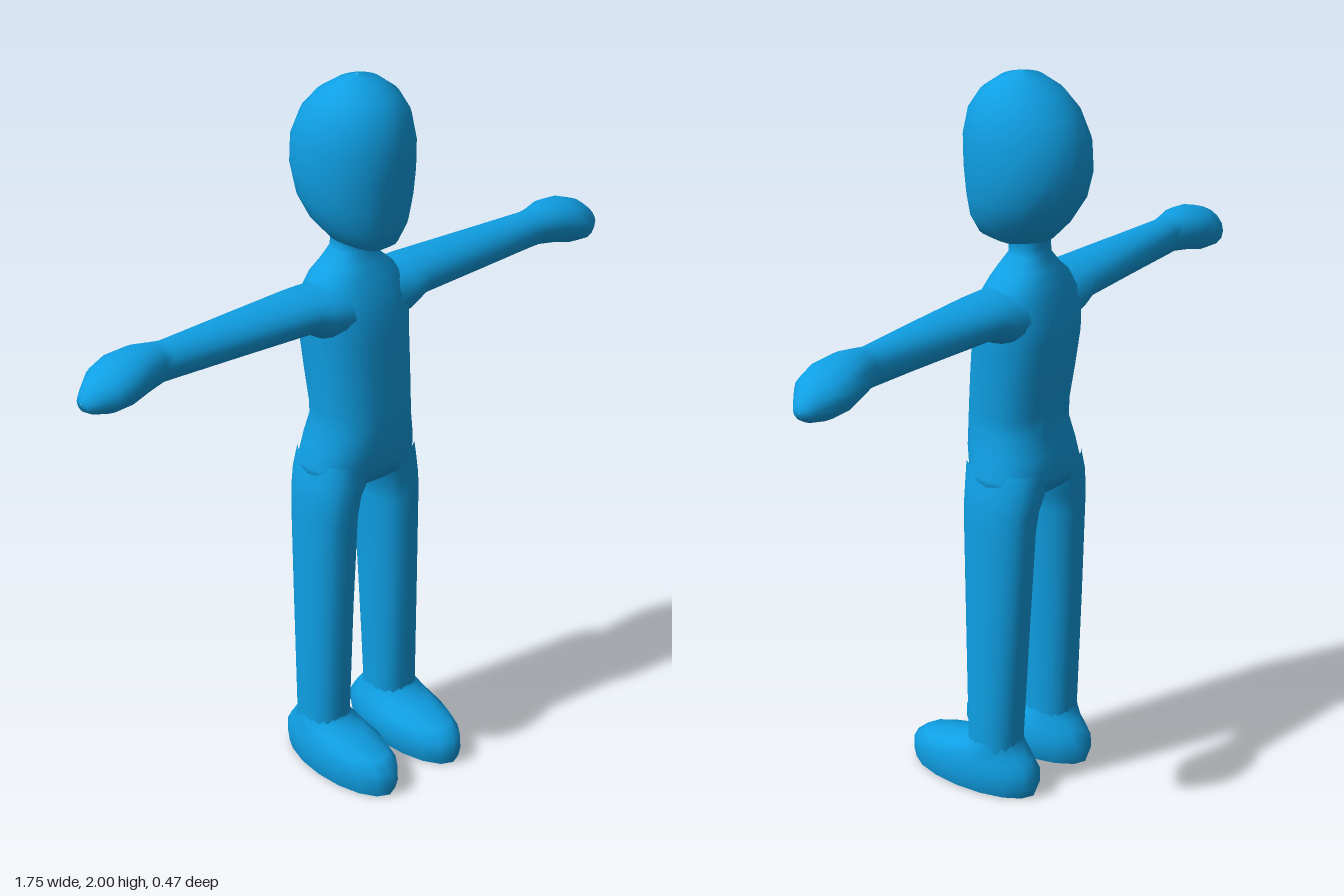
import * as THREE from 'three';

const skin = new THREE.MeshStandardMaterial({ color: 0x0f9fe4 });
skin.name = 'blue';

// Skin rings along an axis. Each ring is [t, aMin, aMax, bMin, bMax]:
// axis 'y' -> t = y, a = x, b = z;  axis 'x' -> t = x, a = z, b = y.
// A repeated ring makes a sharp edge; power > 2 makes rings squarer.
function loft(name, rings, { axis = 'y', sides = 20, power = 2, mirror = false } = {}) {
  const pos = [], index = [];
  const bend = (v) => Math.sign(v) * Math.pow(Math.abs(v), 2 / power);
  for (const [t, a0, a1, b0, b1] of rings) {
    for (let j = 0; j < sides; j++) {
      const w = (j / sides) * Math.PI * 2;
      const a = (a0 + a1) / 2 + ((a1 - a0) / 2) * bend(Math.cos(w));
      const b = (b0 + b1) / 2 + ((b1 - b0) / 2) * bend(Math.sin(w));
      if (axis === 'y') pos.push(mirror ? -a : a, t, b);
      else pos.push(mirror ? -t : t, b, a);
    }
  }
  const tri = (p, q, r) => (mirror ? index.push(p, r, q) : index.push(p, q, r));
  for (let i = 0; i < rings.length - 1; i++) {
    for (let j = 0; j < sides; j++) {
      const k = (j + 1) % sides, lo = i * sides, hi = lo + sides;
      tri(lo + j, hi + j, lo + k);
      tri(lo + k, hi + j, hi + k);
    }
  }
  const geo = new THREE.BufferGeometry();
  geo.setAttribute('position', new THREE.Float32BufferAttribute(pos, 3));
  geo.setIndex(index);
  geo.computeVertexNormals();
  const mesh = new THREE.Mesh(geo, skin);
  mesh.name = name;
  return mesh;
}

// Symmetric ring about x = 0
const mid = (y, w, z0, z1) => [y, -w, w, z0, z1];

export function createModel() {
  const model = new THREE.Group();
  model.name = 'figure';

  // Egg-shaped head with the chin pushed forward
  model.add(loft('head', [
    mid(1.545, 0.002, -0.03, -0.026),
    mid(1.55, 0.045, -0.10, 0.055),
    mid(1.57, 0.08, -0.13, 0.088),
    mid(1.62, 0.12, -0.177, 0.105),
    mid(1.68, 0.143, -0.215, 0.11),
    mid(1.75, 0.153, -0.232, 0.115),
    mid(1.83, 0.152, -0.227, 0.117),
    mid(1.90, 0.137, -0.193, 0.102),
    mid(1.95, 0.107, -0.145, 0.068),
    mid(1.985, 0.06, -0.09, 0.018),
    mid(2.0, 0.002, -0.042, -0.038),
  ], { sides: 24 }));

  // Torso from crotch to neck
  model.add(loft('torso', [
    mid(0.885, 0.01, -0.06, -0.04),
    mid(0.89, 0.168, -0.165, 0.064),
    mid(0.93, 0.164, -0.175, 0.075),
    mid(0.99, 0.149, -0.168, 0.09),
    mid(1.05, 0.136, -0.152, 0.093),
    mid(1.10, 0.137, -0.152, 0.09),
    mid(1.20, 0.143, -0.168, 0.082),
    mid(1.30, 0.148, -0.182, 0.073),
    mid(1.36, 0.155, -0.178, 0.065),
    mid(1.42, 0.145, -0.163, 0.045),
    mid(1.46, 0.12, -0.15, 0.025),
    mid(1.49, 0.085, -0.135, 0.01),
    mid(1.525, 0.055, -0.118, -0.012),
    mid(1.55, 0.05, -0.118, -0.01),
    mid(1.60, 0.06, -0.12, 0.0),
  ], { sides: 24, power: 2.3 }));

  for (const mirror of [false, true]) {
    const side = mirror ? 'right' : 'left';

    // Arm running into a mitten hand
    model.add(loft(side + 'Arm', [
      [0.08, -0.15, 0.05, 1.30, 1.45],
      [0.14, -0.148, 0.044, 1.31, 1.452],
      [0.19, -0.14, 0.036, 1.339, 1.451],
      [0.40, -0.121, 0.019, 1.342, 1.45],
      [0.62, -0.102, 0.0, 1.345, 1.447],
      [0.65, -0.104, 0.003, 1.346, 1.452],
      [0.70, -0.122, 0.018, 1.338, 1.459],
      [0.76, -0.134, 0.03, 1.323, 1.452],
      [0.81, -0.123, 0.021, 1.318, 1.434],
      [0.85, -0.092, -0.012, 1.325, 1.402],
      [0.87, -0.075, -0.03, 1.337, 1.378],
      [0.873, -0.054, -0.052, 1.356, 1.358],
    ], { axis: 'x', sides: 16, mirror }));

    // Leg from ankle to hip
    model.add(loft(side + 'Leg', [
      [0.08, 0.05, 0.195, -0.13, 0.035],
      [0.16, 0.053, 0.19, -0.125, 0.031],
      [0.50, 0.047, 0.185, -0.144, 0.044],
      [0.78, 0.037, 0.181, -0.158, 0.055],
      [0.84, 0.026, 0.178, -0.162, 0.059],
      [0.89, 0.0, 0.172, -0.168, 0.064],
      [0.95, 0.0, 0.155, -0.165, 0.07],
    ], { power: 2.15, mirror }));

    // Foot with a flat sole and a sloping top
    const sole = [0.002, 0.032, 0.205, -0.175, 0.232];
    model.add(loft(side + 'Foot', [
      [0.0, 0.117, 0.119, 0.03, 0.032],
      sole, sole,
      [0.03, 0.022, 0.213, -0.185, 0.238],
      [0.07, 0.02, 0.214, -0.183, 0.236],
      [0.10, 0.03, 0.206, -0.165, 0.2],
      [0.125, 0.042, 0.198, -0.143, 0.095],
      [0.145, 0.051, 0.192, -0.128, 0.035],
      [0.17, 0.056, 0.188, -0.122, 0.028],
    ], { sides: 16, mirror }));
  }
  return model;
}
